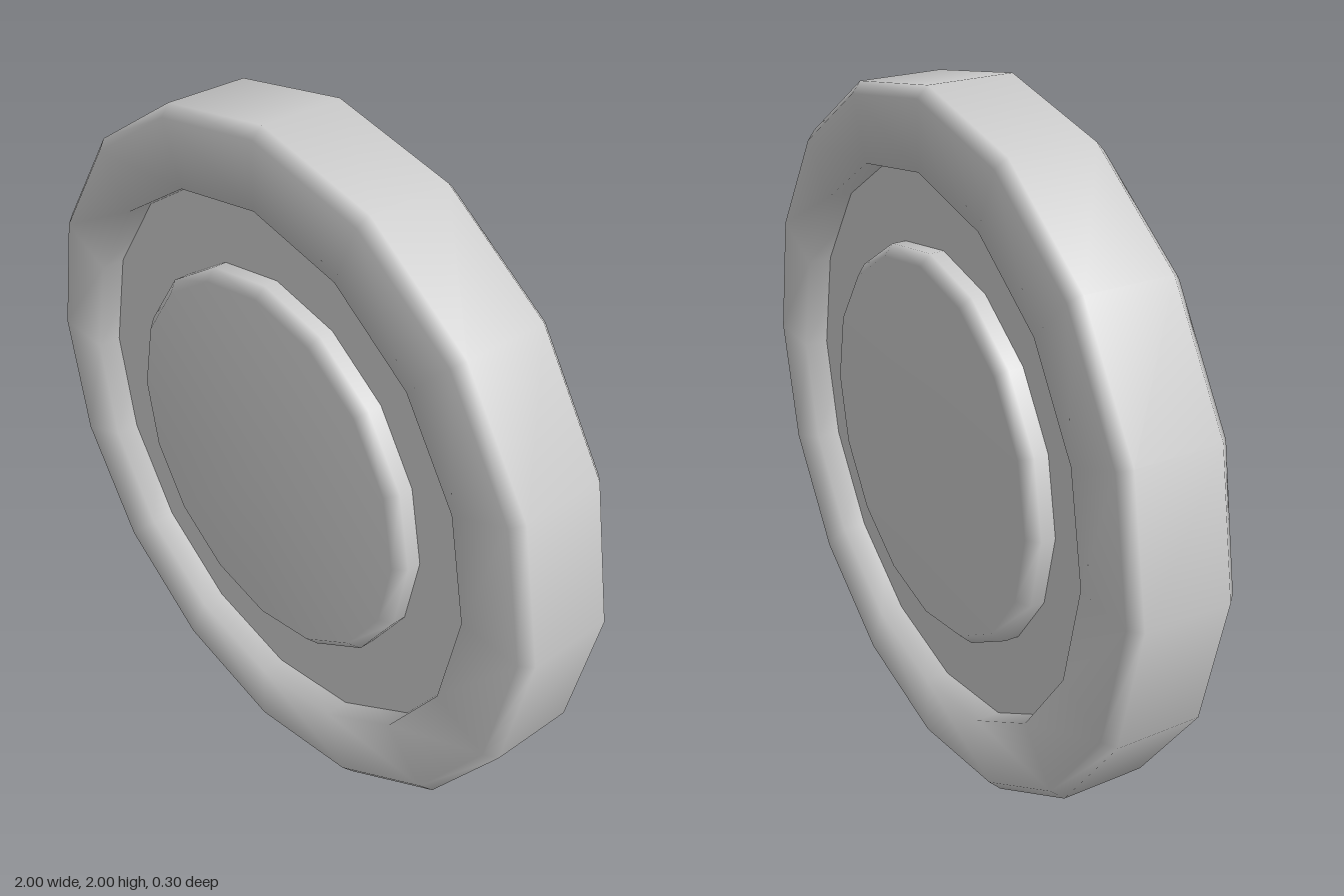
import * as THREE from 'three';

const SIDES = 16;

export function createModel() {
  const material = new THREE.MeshStandardMaterial({ color: 0xcccccc });
  const model = new THREE.Group();
  model.name = 'medallion';

  // Adds a part of revolution whose axis runs along z; points are [radius, depth]
  const addRound = (name, geometry) => {
    geometry.rotateX(Math.PI / 2);
    const mesh = new THREE.Mesh(geometry, material);
    mesh.name = name;
    mesh.position.y = 1;
    model.add(mesh);
  };
  const lathe = (points) =>
    new THREE.LatheGeometry(points.map(([r, d]) => new THREE.Vector2(r, d)), SIDES);

  // Raised outer ring, bevelled outside; the profile starts and ends inside the plate
  addRound('rim', lathe([
    [0.785, 0], [0.785, -0.15], [0.97, -0.15], [1, -0.12],
    [1, 0.12], [0.97, 0.15], [0.785, 0.15], [0.785, 0],
  ]));

  // Flat recessed plate between ring and centre
  addRound('recessedPlate', new THREE.CylinderGeometry(0.88, 0.88, 0.16, SIDES));

  // Raised centre with bevelled edges, on both faces
  addRound('centreDisc', lathe([
    [0, -0.15], [0.535, -0.15], [0.565, -0.12],
    [0.565, 0.12], [0.535, 0.15], [0, 0.15],
  ]));

  return model;
}
